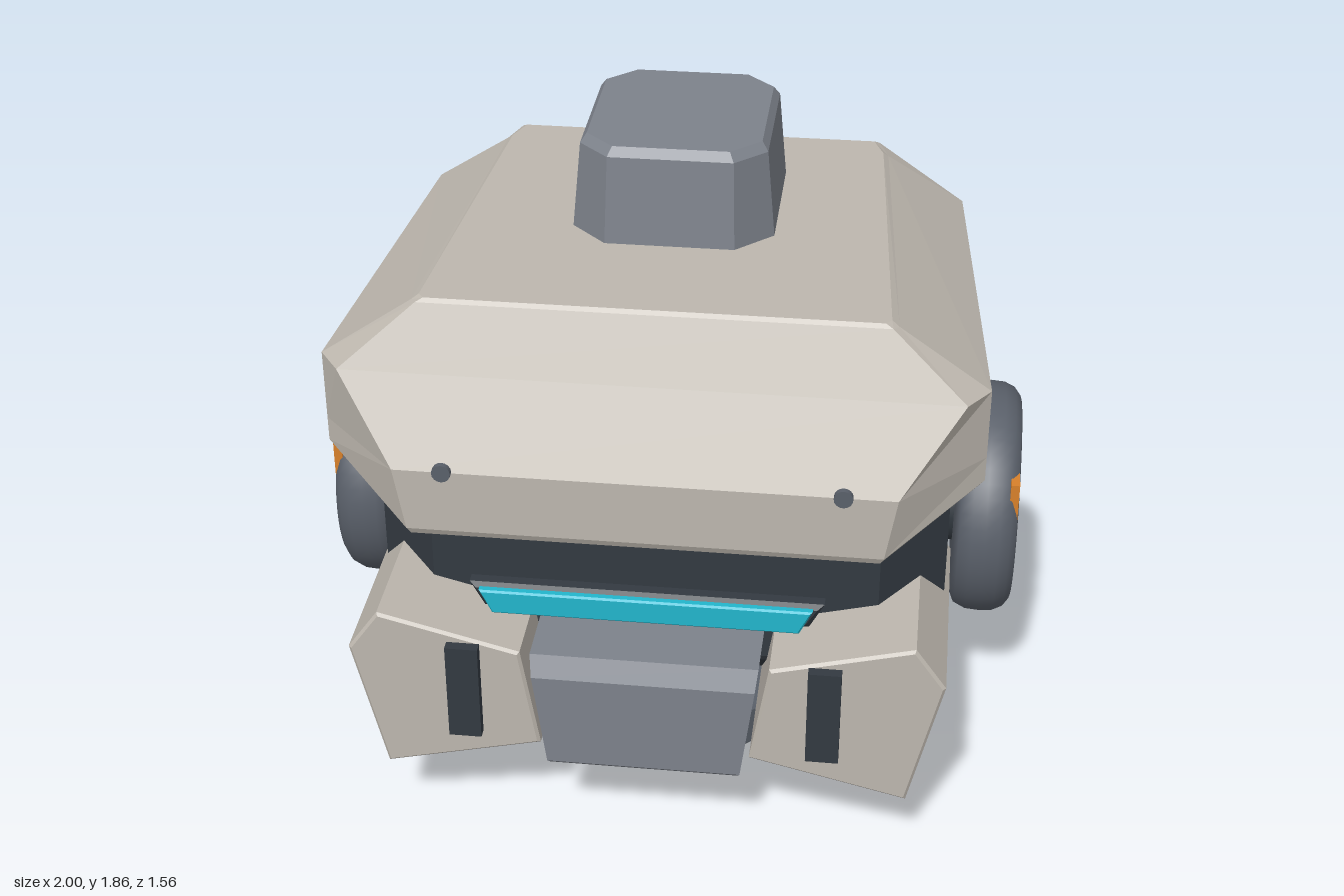
import * as THREE from 'three';

const mat = (name, color) => {
  const m = new THREE.MeshStandardMaterial({ color });
  m.name = name;
  return m;
};

// Loft through rings of points, listed counterclockwise from above, bottom ring first
function loft(rings) {
  const pos = [];
  const tri = (a, b, c) => pos.push(...a, ...b, ...c);
  const n = rings[0].length;
  for (let i = 0; i < rings.length - 1; i++) {
    for (let j = 0; j < n; j++) {
      const k = (j + 1) % n;
      const [a, b, c, d] = [rings[i][j], rings[i][k], rings[i + 1][k], rings[i + 1][j]];
      tri(a, b, c);
      tri(a, c, d);
    }
  }
  const low = rings[0], top = rings[rings.length - 1];
  for (let j = 1; j < n - 1; j++) {
    tri(low[0], low[j + 1], low[j]);
    tri(top[0], top[j], top[j + 1]);
  }
  const g = new THREE.BufferGeometry();
  g.setAttribute('position', new THREE.Float32BufferAttribute(pos, 3));
  g.computeVertexNormals();
  return g;
}

// Mirror a right-hand half ring (front to back) across x = 0
const mirrorRing = (half) => [...half, ...half.slice().reverse().map(([x, y, z]) => [-x, y, z])];

// Rectangle with cut corners, centred on z = cz
const cutRect = (w, d, cut, y, cz) => mirrorRing([
  [w - cut, y, cz + d], [w, y, cz + d - cut], [w, y, cz - d + cut], [w - cut, y, cz - d],
]);

// Front outline extruded between two depths, with small bevels
function slab(points, z0, z1, bevel) {
  const shape = new THREE.Shape(points.map(([x, y]) => new THREE.Vector2(x, y)));
  const g = new THREE.ExtrudeGeometry(shape, {
    depth: z1 - z0 - 2 * bevel, bevelEnabled: bevel > 0, bevelSize: bevel,
    bevelThickness: bevel, bevelOffset: -bevel, bevelSegments: 1,
  });
  return g.translate(0, 0, z0 + bevel);
}

export function createModel() {
  const model = new THREE.Group();
  const shell = mat('warm shell', 0xbdb7ae);
  const dark = mat('dark casing', 0x333a41);
  const light = mat('light grey', 0x7d828b);
  const mid = mat('slate grey', 0x5a606a);
  const cyan = mat('cyan glow', 0x22b6cc);
  const orange = mat('orange accent', 0xd8802a);
  const add = (name, geometry, material) => {
    const mesh = new THREE.Mesh(geometry, material);
    mesh.name = name;
    model.add(mesh);
    return mesh;
  };

  // Octagonal collar and round neck
  const octagon = (r, y) => Array.from({ length: 8 }, (_, i) => {
    const a = Math.PI / 8 + i * Math.PI / 4;
    return [r * Math.cos(a), y, -0.035 - r * Math.sin(a)];
  });
  add('collar', loft([octagon(0.425, 0), octagon(0.433, 0.01), octagon(0.433, 0.125), octagon(0.425, 0.135)]), mid);
  add('neck', new THREE.CylinderGeometry(0.265, 0.265, 0.3, 32).translate(0, 0.27, -0.035), dark);

  // Skull casing with chamfered corners, base and crown
  const skullRing = (y, inset) => mirrorRing([
    [0.62 - inset * 0.5, y, 0.5 - inset], [0.8 - inset, y, 0.31 - inset * 0.5],
    [0.8 - inset, y, -0.6 + inset * 0.5], [0.57 - inset * 0.5, y, -0.78 + inset],
  ]);
  add('skull', loft([
    skullRing(0.33, 0.18), skullRing(0.48, 0.01), skullRing(0.5, 0),
    skullRing(1.13, 0), skullRing(1.16, 0.01), skullRing(1.33, 0.14),
  ]), dark);

  // Helmet: underside lip, rim, brow, shoulder and crown
  add('helmet', loft([
    mirrorRing([[0.6, 0.975, 0.47], [0.78, 1.085, 0.3], [0.74, 1.09, -0.54], [0.5, 1.1, -0.6]]),
    mirrorRing([[0.62, 0.99, 0.72], [0.87, 1.125, 0.515], [0.78, 1.12, -0.595], [0.56, 1.13, -0.68]]),
    mirrorRing([[0.63, 1.01, 0.73], [0.88, 1.14, 0.52], [0.79, 1.14, -0.6], [0.57, 1.15, -0.69]]),
    mirrorRing([[0.66, 1.19, 0.73], [0.88, 1.21, 0.52], [0.79, 1.2, -0.6], [0.57, 1.2, -0.69]]),
    mirrorRing([[0.82, 1.41, 0.605], [0.88, 1.41, 0.52], [0.79, 1.41, -0.6], [0.57, 1.5, -0.69]]),
    mirrorRing([[0.62, 1.575, 0.52], [0.635, 1.572, 0.5], [0.565, 1.572, -0.54], [0.535, 1.575, -0.625]]),
    mirrorRing([[0.6, 1.585, 0.51], [0.615, 1.585, 0.49], [0.55, 1.585, -0.53], [0.52, 1.585, -0.61]]),
  ]), shell);

  // Raised block on the crown
  add('crownBlock', loft([
    cutRect(0.28, 0.308, 0.1, 1.56, -0.16), cutRect(0.277, 0.305, 0.1, 1.585, -0.16),
    cutRect(0.255, 0.283, 0.085, 1.83, -0.16), cutRect(0.238, 0.266, 0.08, 1.855, -0.16),
  ]), light);

  // Visor frame and glowing strip
  add('visorFrame', slab([[-0.48, 0.815], [-0.44, 0.74], [0.44, 0.74], [0.48, 0.815]], 0.63, 0.69, 0.015), dark);
  add('visorStrip', slab([[-0.45, 0.81], [-0.415, 0.738], [0.415, 0.738], [0.45, 0.81]], 0.685, 0.713, 0.006), cyan);

  // Chin block with a sloped upper front edge
  const chinRing = (y, w, z) => [[-w, y, z], [w, y, z], [w, y, 0.3], [-w, y, 0.3]];
  add('chin', loft([
    chinRing(0.275, 0.262, 0.755), chinRing(0.287, 0.268, 0.766),
    chinRing(0.57, 0.305, 0.766), chinRing(0.628, 0.312, 0.735),
  ]), light);

  // Ear disc profile: radius, height along the axis
  const earProfile = [[0, 0], [0.29, 0], [0.325, 0.015], [0.342, 0.05], [0.345, 0.09],
    [0.342, 0.13], [0.328, 0.16], [0.305, 0.177], [0.295, 0.18], [0, 0.18]]
    .map(([r, h]) => new THREE.Vector2(r, h));

  for (const s of [1, -1]) {
    const side = s > 0 ? 'left' : 'right';

    // Cheek guard with its dark vent and side strut
    add(side + 'Cheek', slab([
      [0.34 * s, 0.63], [0.73 * s, 0.73], [0.815 * s, 0.61], [0.725 * s, 0.22], [0.29 * s, 0.325],
    ], 0.055, 0.74, 0.008), shell);
    add(side + 'Vent', new THREE.BoxGeometry(0.09, 0.295, 0.03).translate(0.492 * s, 0.512, 0.765), dark);
    add(side + 'Strut', new THREE.CylinderGeometry(0.03, 0.03, 0.36, 12)
      .rotateX(Math.PI / 2).translate(0.785 * s, 0.52, 0.13), dark);

    // Ear disc on its axle, with an accent tab at the rim
    add(side + 'Ear', new THREE.LatheGeometry(earProfile, 48)
      .rotateZ(-s * Math.PI / 2).translate(0.82 * s, 0.642, -0.188), mid);
    add(side + 'EarAxle', new THREE.CylinderGeometry(0.14, 0.14, 0.1, 24)
      .rotateZ(Math.PI / 2).translate(0.79 * s, 0.642, -0.188), dark);
    add(side + 'EarTab', new THREE.BoxGeometry(0.025, 0.14, 0.1).translate(0.985 * s, 0.79, 0.047), orange);

    // Brow rivet
    add(side + 'Rivet', new THREE.CylinderGeometry(0.025, 0.025, 0.016, 16)
      .rotateX(Math.PI / 2).translate(0.52 * s, 1.21, 0.76), mid);
  }
  return model;
}
